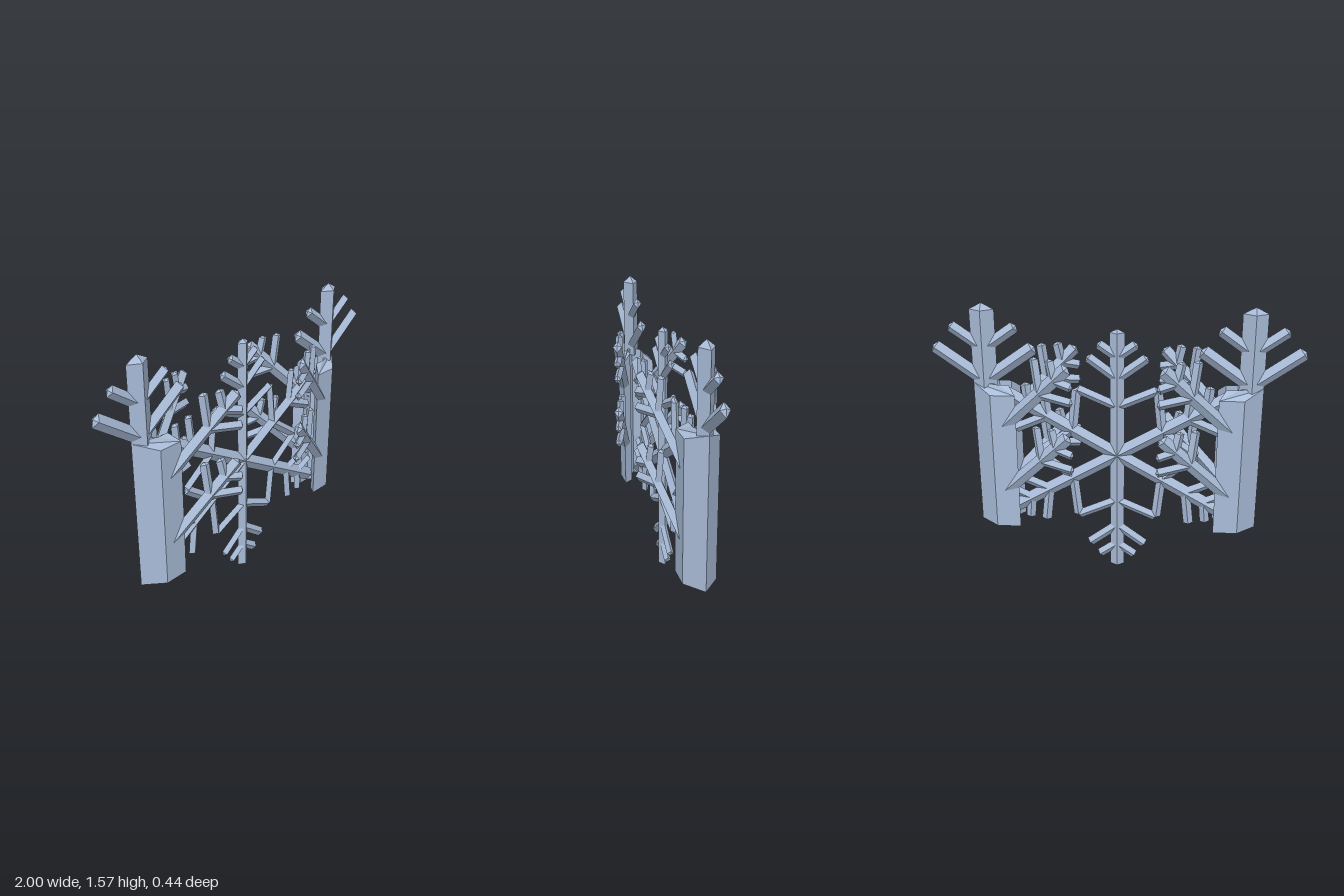
import * as THREE from 'three';
import { mergeGeometries } from 'three/addons/utils/BufferGeometryUtils.js';

const V = (x, y, z = 0) => new THREE.Vector3(x, y, z);

// Diamond-section bar from a to b with a pyramid tip; w lies in the plane of n, d along n
function bar(a, b, w, d, cap, n = V(0, 0, 1)) {
  const dir = b.clone().sub(a).normalize();
  const side = new THREE.Vector3().crossVectors(dir, n).normalize();
  const offsets = [
    side.clone().multiplyScalar(w), n.clone().multiplyScalar(-d),
    side.clone().multiplyScalar(-w), n.clone().multiplyScalar(d),
  ];
  const lo = offsets.map((o) => a.clone().add(o));
  const hi = offsets.map((o) => b.clone().add(o));
  const tip = b.clone().addScaledVector(dir, cap);
  const tris = [lo[0], lo[2], lo[1], lo[0], lo[3], lo[2]];
  for (let i = 0; i < 4; i++) {
    const j = (i + 1) % 4;
    tris.push(lo[i], lo[j], hi[j], lo[i], hi[j], hi[i], hi[i], hi[j], tip);
  }
  const g = new THREE.BufferGeometry().setFromPoints(tris);
  g.computeVertexNormals();
  return g;
}

function addMesh(parent, name, geometry, material) {
  const mesh = new THREE.Mesh(geometry, material);
  mesh.name = name;
  parent.add(mesh);
}

// Six-armed flake with a star of linking bars and two branch pairs per arm
function flakeGeometry() {
  const bars = [];
  const cy = 0.727;
  for (let k = 0; k < 6; k++) {
    const ang = (k * Math.PI) / 3;
    const at = (u, r) => V(u * Math.cos(ang) - r * Math.sin(ang), cy + u * Math.sin(ang) + r * Math.cos(ang));
    bars.push(bar(at(0, 0), at(0, 0.7), 0.04, 0.027, 0.02));
    for (const s of [-1, 1]) {
      bars.push(bar(at(0, 0.285), at(s * 0.215, 0.38), 0.027, 0.02, 0.012));
      bars.push(bar(at(0, 0.445), at(s * 0.155, 0.56), 0.028, 0.02, 0.012));
      bars.push(bar(at(0, 0.565), at(s * 0.098, 0.634), 0.027, 0.02, 0.012));
    }
  }
  return mergeGeometries(bars);
}

// Open channel with its outer corners cut lower at the top
function pillarGeometry() {
  const half = [[0.68, 0.09], [0.545, 0.09], [0.585, 0.04], [0.65, 0.04]];
  const pts = [[0.785, 0], ...half, [0.70, 0], ...half.map(([x, z]) => [x, -z]).reverse()];
  const shape = new THREE.Shape(pts.map(([x, z]) => new THREE.Vector2(x, z)));
  const g = new THREE.ExtrudeGeometry(shape, { depth: 0.835, bevelEnabled: false });
  g.rotateX(-Math.PI / 2).translate(0, 0.3, 0);
  const p = g.attributes.position;
  for (let i = 0; i < p.count; i++) {
    if (p.getY(i) > 1 && Math.abs(p.getZ(i)) > 0.06) p.setY(i, 1.09);
  }
  g.computeVertexNormals();
  return g;
}

// Upright sprig on top of a pillar
function sprigGeometry() {
  const x = 0.718;
  const bars = [bar(V(x, 1.1), V(x, 1.54), 0.067, 0.042, 0.035)];
  for (const s of [-1, 1]) {
    bars.push(bar(V(x, 1.145), V(x + s * 0.262, 1.332), 0.038, 0.027, 0.016));
    bars.push(bar(V(x, 1.325), V(x + s * 0.17, 1.446), 0.032, 0.025, 0.014));
  }
  return mergeGeometries(bars);
}

// Branched twig leaning out of a pillar face, lying in a vertical slanted plane
function twigGeometry(y, sz) {
  const at = (u, v) => V(0.615 - u, y + v, sz * (0.066 + 0.345 * u));
  const n = V(0.345, 0, sz).normalize();
  const bars = [bar(at(-0.02, -0.02), at(0.362, 0.37), 0.037, 0.026, 0.015, n)];
  for (const [base, u, v] of [[0.21, 0.187, 0.403], [0.295, 0.272, 0.403]]) {
    bars.push(bar(at(base, base), at(u, v), 0.027, 0.02, 0.012, n));
    bars.push(bar(at(base, base), at(v - 0.018, u), 0.027, 0.02, 0.012, n));
  }
  return mergeGeometries(bars);
}

export function createModel() {
  const model = new THREE.Group();
  model.name = 'snowflakeOrnament';
  const ice = new THREE.MeshStandardMaterial({ color: 0xa9bcd8 });
  ice.name = 'ice blue';

  addMesh(model, 'centralSnowflake', flakeGeometry(), ice);

  for (const name of ['left', 'right']) {
    const side = new THREE.Group();
    side.name = name + 'Side';
    if (name === 'right') side.rotation.y = Math.PI;
    addMesh(side, 'pillar', pillarGeometry(), ice);
    addMesh(side, 'topSprig', sprigGeometry(), ice);
    for (const sz of [1, -1]) {
      addMesh(side, 'lowerTwig', twigGeometry(0.525, sz), ice);
      addMesh(side, 'upperTwig', twigGeometry(0.91, sz), ice);
    }
    model.add(side);
  }
  return model;
}
